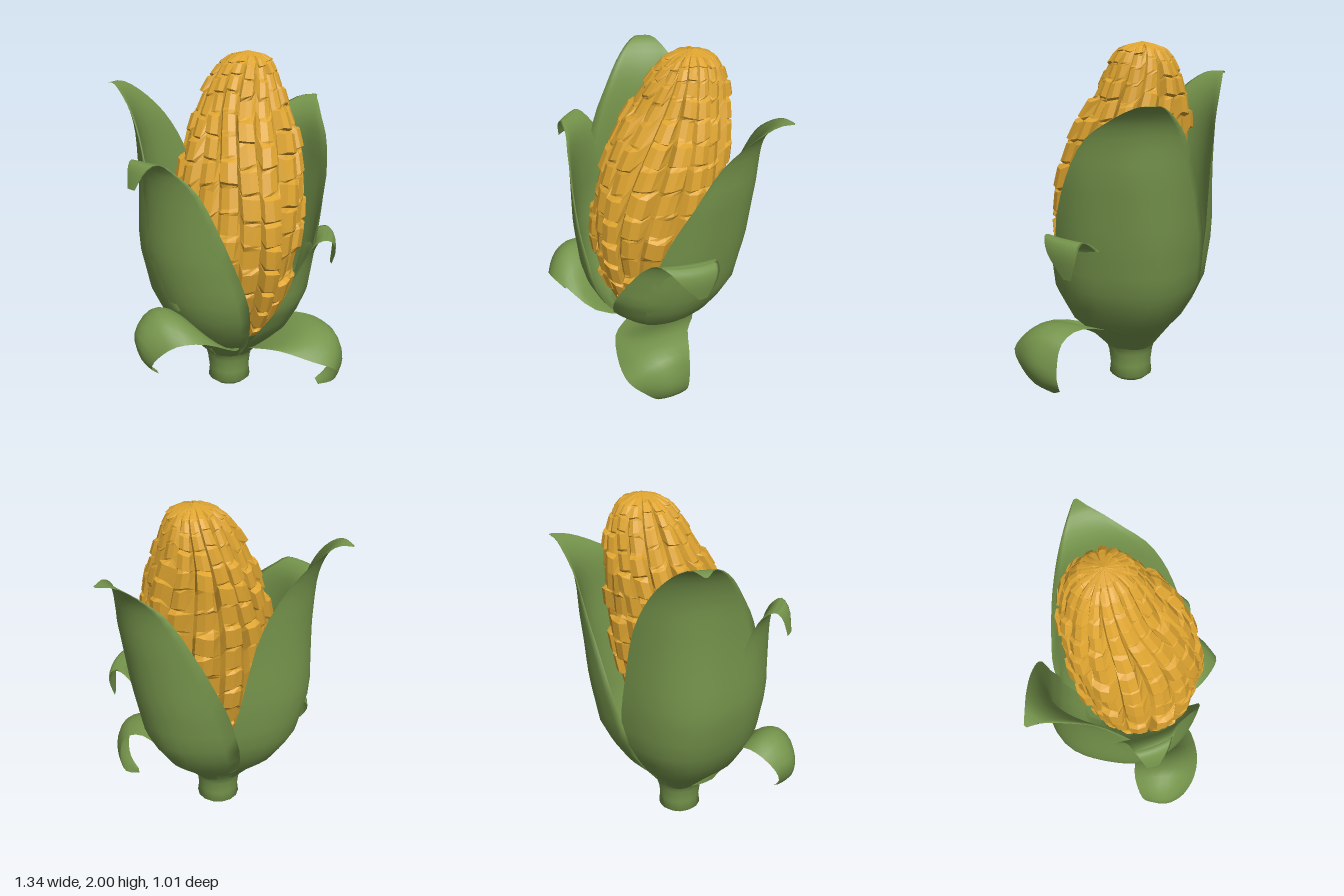
import * as THREE from 'three';

const green = new THREE.MeshStandardMaterial({ color: 0x76954c, side: THREE.DoubleSide });
green.name = 'husk green';
const yellow = new THREE.MeshStandardMaterial({ color: 0xdea430, flatShading: true });
yellow.name = 'kernel yellow';

// Small seeded random generator
function seeded(seed) {
  return () => {
    seed = (seed * 16807) % 2147483647;
    return seed / 2147483647;
  };
}

// Smooth interpolation of a table of rows, t from 0 to 1
function spline(rows, t) {
  const n = rows.length - 1;
  const i = Math.min(Math.floor(t * n), n - 1);
  const f = t * n - i;
  const at = (k) => rows[Math.max(0, Math.min(n, k))];
  return rows[0].map((_, c) => {
    const p0 = at(i - 1)[c], p1 = at(i)[c], p2 = at(i + 1)[c], p3 = at(i + 2)[c];
    return p1 + 0.5 * f * (p2 - p0 + f * (2 * p0 - 5 * p1 + 4 * p2 - p3 + f * (3 * (p1 - p2) + p3 - p0)));
  });
}

// Linear lookup in a table whose first column is y
function lookup(table, y) {
  let i = 0;
  while (i < table.length - 2 && y > table[i + 1][0]) i++;
  const a = table[i], b = table[i + 1];
  const f = THREE.MathUtils.clamp((y - a[0]) / (b[0] - a[0]), 0, 1);
  return a.map((v, c) => v + (b[c] - v) * f);
}

// Surface from a rule point(i, j) on a grid
function gridMesh(name, nu, nv, point, material) {
  const pos = [], index = [];
  for (let j = 0; j <= nv; j++) for (let i = 0; i <= nu; i++) pos.push(...point(i, j));
  for (let j = 0; j < nv; j++) {
    for (let i = 0; i < nu; i++) {
      const a = j * (nu + 1) + i, d = a + nu + 1;
      index.push(a, a + 1, d + 1, a, d + 1, d);
    }
  }
  const geo = new THREE.BufferGeometry();
  geo.setAttribute('position', new THREE.Float32BufferAttribute(pos, 3));
  geo.setIndex(index);
  geo.computeVertexNormals();
  const mesh = new THREE.Mesh(geo, material);
  mesh.name = name;
  return mesh;
}

// Outer husk envelope: y, half width x, half depth z, centre x, centre z
const envelope = [
  [0.2, 0.12, 0.12, -0.03, -0.05], [0.27, 0.18, 0.17, -0.03, -0.04], [0.4, 0.33, 0.31, -0.03, -0.03],
  [0.6, 0.455, 0.42, -0.03, -0.04], [0.9, 0.52, 0.45, -0.035, -0.05], [1.3, 0.54, 0.45, 0, -0.05],
  [1.85, 0.55, 0.46, 0.01, -0.05],
];

// Wrapping leaf, thickest in the middle;
// rows: y, start angle, end angle (0 = front, 90 = +x), outward scale at each edge
function wrapLeaf(name, rows) {
  const half = 14, nv = 22;
  return gridMesh(name, half * 2, nv, (i, j) => {
    const [y, a0, a1, s0, s1] = spline(rows, j / nv);
    const [, rx, rz, cx, cz] = lookup(envelope, y);
    const u = i <= half ? i / half : 2 - i / half;
    const thickness = i <= half ? 0 : 0.07 * Math.sqrt(Math.sin(Math.PI * u)) * (1 - (j / nv) ** 2);
    const a = THREE.MathUtils.degToRad(a0 + (a1 - a0) * u);
    const sx = Math.sin(a), sz = Math.cos(a);
    const n = 2.5 - 0.3 * THREE.MathUtils.clamp(sz * 3, -1, 1);
    const k = (s0 + (s1 - s0) * u - thickness) * Math.pow(Math.abs(sx) ** n + Math.abs(sz) ** n, -1 / n);
    return [cx + rx * sx * k, y, cz + rz * sz * k];
  }, green);
}

// Drooping leaf; rows: front edge, midrib and back edge points
function droopLeaf(name, rows) {
  const nu = 8, nv = 18;
  return gridMesh(name, nu, nv, (i, j) => {
    const r = spline(rows, j / nv);
    const u = i / nu;
    const wa = (1 - u) * (1 - 2 * u), wm = 4 * u * (1 - u), wb = u * (2 * u - 1);
    return [0, 1, 2].map((c) => wa * r[c] + wm * r[c + 3] + wb * r[c + 6]);
  }, green);
}

// Cob: leaning body covered in columns of uneven kernels
function makeCob() {
  const profile = [ // radius, y, centre x, centre z
    [0.1, 0.3, -0.01, 0.02], [0.21, 0.45, 0, 0.02], [0.295, 0.65, 0, 0.02], [0.35, 0.88, 0.01, 0.02],
    [0.365, 1.1, 0.03, 0], [0.35, 1.33, 0.05, -0.04], [0.31, 1.54, 0.07, -0.09],
    [0.25, 1.72, 0.085, -0.14], [0.19, 1.87, 0.11, -0.165], [0.12, 1.965, 0.125, -0.17], [0, 2, 0.13, -0.17],
  ];
  const columns = 16, rows = 16;
  const uFrac = [0, 0.16, 0.5, 0.84], vFrac = [0, 0.12, 0.88];
  const rand = seeded(41);
  const kernels = Array.from({ length: columns }, () => ({
    phase: rand() - 0.5,
    lift: Array.from({ length: rows + 1 }, () => (rand() - 0.5) * 0.045),
    skew: Array.from({ length: rows + 1 }, () => (rand() - 0.5) * 0.5),
  }));
  const nu = columns * 4, nv = rows * 3;
  return gridMesh('cob', nu, nv, (i, j) => {
    const { phase, lift, skew } = kernels[Math.floor(i / 4) % columns];
    const r = Math.floor(j / 3), fu = uFrac[i % 4], fv = vFrac[j % 3];
    const shift = j === 0 || j === nv || fu === 0 ? 0 : phase * 0.9 + skew[r] * (fu - 0.5);
    const t = THREE.MathUtils.clamp((r + fv + shift) / rows, 0, 1);
    const [radius, y, cx, cz] = spline(profile, t);
    let bump = -0.03;
    if (fu > 0) bump = fv > 0 ? lift[r] + (fu === 0.5 ? 0.012 : 0.002) : -0.004;
    const fade = Math.min(1, radius / 0.28);
    const wander = 0.07 * Math.sin(t * 9 + Math.floor(i / 4) / columns * Math.PI * 6);
    const angle = ((Math.floor(i / 4) + fu) / columns) * Math.PI * 2 + wander;
    const k = Math.max(0, radius + bump * fade);
    return [cx + k * Math.sin(angle), y, cz + k * Math.cos(angle)];
  }, yellow);
}

export function createModel() {
  const model = new THREE.Group();
  model.name = 'corn';
  model.add(makeCob());

  // Stalk flaring into the cup under the cob
  const stalkProfile = [[0, 0], [0.09, 0.01], [0.127, 0.04], [0.12, 0.1], [0.13, 0.18], [0.145, 0.23], [0.2, 0.3], [0.28, 0.4]];
  const stalk = new THREE.Mesh(
    new THREE.LatheGeometry(stalkProfile.map(([r, y]) => new THREE.Vector2(r, y)), 14), green);
  stalk.name = 'stalk';
  stalk.position.set(-0.03, 0, -0.05);
  model.add(stalk);

  // Tall back leaves
  model.add(wrapLeaf('backLeafLeft', [
    [0.22, 40, 192, 1, 1], [0.5, 43, 188, 1, 1], [0.8, 47, 179, 1, 1], [1.05, 54, 170, 1, 1.01],
    [1.3, 68, 160, 1, 1.02], [1.5, 84, 149, 1.02, 1.03], [1.61, 103, 139, 1.08, 1.09],
    [1.68, 117, 130, 1.2, 1.2], [1.69, 122.5, 124, 1.33, 1.33],
  ]));
  model.add(wrapLeaf('backLeafRight', [
    [0.22, -190, -45, 0.99, 0.99], [0.5, -187, -50, 0.99, 0.99], [0.8, -181, -60, 0.99, 0.98],
    [1.1, -172, -68, 0.99, 0.98], [1.4, -162, -80, 1, 0.99], [1.6, -151, -95, 1.02, 1.02],
    [1.74, -140, -108, 1.1, 1.1], [1.82, -131, -119, 1.22, 1.22], [1.81, -126, -124.5, 1.34, 1.34],
  ]));

  // Shorter front leaves tucked under the tall ones, tips curling over
  model.add(wrapLeaf('frontLeafRight', [
    [0.22, -115, 12, 0.96, 1.02], [0.4, -108, 2, 0.96, 1.02], [0.65, -105, -3, 0.96, 1.02],
    [0.88, -102, -11, 0.96, 1.02], [1.12, -95, -23, 0.97, 1.03], [1.32, -86, -35, 1, 1.04],
    [1.42, -80, -47, 1.06, 1.06], [1.47, -76, -54, 1.17, 1.14], [1.43, -73, -59, 1.24, 1.23],
    [1.33, -70, -64, 1.28, 1.28],
  ]));
  model.add(wrapLeaf('frontLeafLeft', [
    [0.22, -5, 110, 1.02, 0.95], [0.4, 4, 105, 1.02, 0.95], [0.58, 17, 100, 1.01, 0.95],
    [0.75, 29, 96, 1.01, 0.96], [0.88, 39, 92, 1.02, 0.98], [0.95, 47, 86, 1.07, 1.08],
    [0.95, 54, 84, 1.17, 1.19], [0.87, 62, 82, 1.24, 1.25], [0.75, 73, 78, 1.26, 1.26],
  ]));

  // Low leaves drooping at the foot
  model.add(droopLeaf('lowLeafRight', [
    [-0.02, 0.3, 0.12, -0.12, 0.25, 0.04, -0.15, 0.22, -0.1],
    [-0.12, 0.38, 0.34, -0.25, 0.4, 0.22, -0.3, 0.32, -0.03],
    [-0.32, 0.49, 0.43, -0.38, 0.58, 0.27, -0.42, 0.55, 0.05],
    [-0.48, 0.5, 0.43, -0.53, 0.63, 0.27, -0.55, 0.58, 0.07],
    [-0.58, 0.42, 0.38, -0.65, 0.51, 0.27, -0.65, 0.48, 0.13],
    [-0.6, 0.34, 0.33, -0.64, 0.37, 0.27, -0.63, 0.36, 0.19],
    [-0.54, 0.28, 0.29, -0.55, 0.28, 0.27, -0.55, 0.28, 0.24],
  ]));
  model.add(droopLeaf('lowLeafLeft', [
    [0, 0.32, 0.2, 0.06, 0.26, 0.06, 0.08, 0.22, -0.15],
    [0.13, 0.36, 0.38, 0.22, 0.38, 0.25, 0.28, 0.38, -0.09],
    [0.3, 0.31, 0.48, 0.36, 0.42, 0.32, 0.42, 0.43, 0.07],
    [0.42, 0.26, 0.5, 0.5, 0.38, 0.34, 0.53, 0.37, 0.15],
    [0.48, 0.17, 0.42, 0.56, 0.24, 0.32, 0.56, 0.21, 0.17],
    [0.48, 0.09, 0.34, 0.53, 0.11, 0.27, 0.53, 0.1, 0.17],
    [0.44, 0.04, 0.26, 0.44, 0.035, 0.24, 0.44, 0.05, 0.2],
  ]));
  return model;
}
